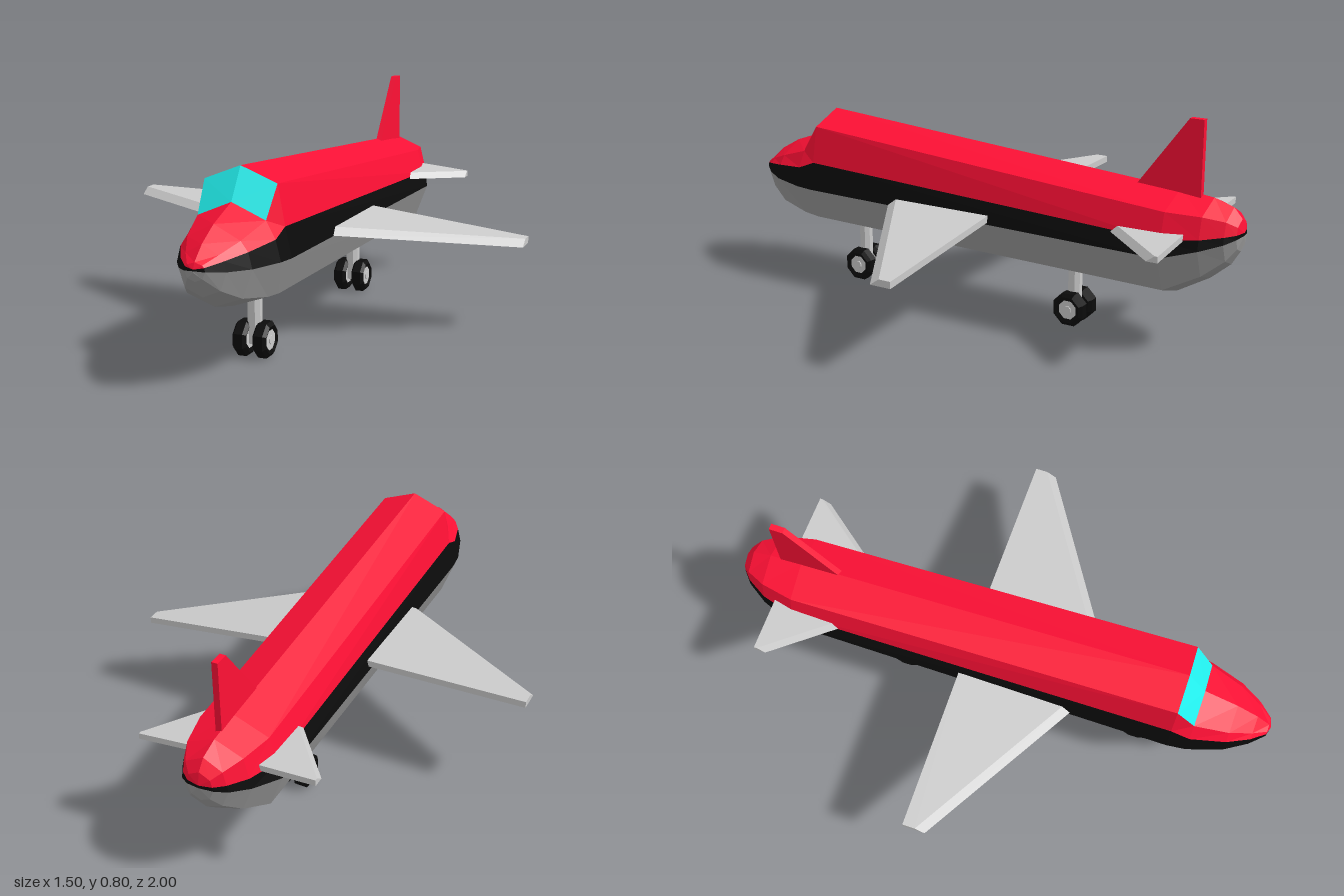
import * as THREE from 'three';

const mat = (color) => new THREE.MeshStandardMaterial({ color, flatShading: true });

// Hull sections, nose to tail: z, ridge y, then x,y of shoulder, paint line, waist and chine, then keel y
const SECTIONS = [
  [1.0, 0.40, 0, 0.40, 0, 0.40, 0, 0.395, 0, 0.39, 0.39],
  [0.99, 0.42, 0.025, 0.412, 0.032, 0.405, 0.035, 0.392, 0.025, 0.37, 0.36],
  [0.94, 0.465, 0.055, 0.435, 0.073, 0.418, 0.08, 0.385, 0.06, 0.325, 0.30],
  [0.86, 0.51, 0.09, 0.465, 0.115, 0.432, 0.128, 0.38, 0.095, 0.285, 0.25],
  [0.735, 0.555, 0.118, 0.505, 0.15, 0.447, 0.168, 0.377, 0.122, 0.262, 0.22],
  [0.665, 0.66, 0.127, 0.61, 0.152, 0.475, 0.175, 0.375, 0.13, 0.257, 0.212],
  [-0.77, 0.555, 0.125, 0.505, 0.15, 0.415, 0.168, 0.358, 0.122, 0.235, 0.195],
  [-0.89, 0.542, 0.1, 0.50, 0.118, 0.427, 0.126, 0.39, 0.09, 0.295, 0.265],
  [-0.96, 0.52, 0.066, 0.485, 0.078, 0.437, 0.083, 0.412, 0.058, 0.35, 0.325],
  [-0.99, 0.485, 0.038, 0.465, 0.045, 0.44, 0.047, 0.425, 0.033, 0.39, 0.375],
  [-1.0, 0.44, 0, 0.44, 0, 0.44, 0, 0.43, 0, 0.43, 0.43],
].map(([z, top, sx, sy, px, py, wx, wy, cx, cy, keel]) =>
  [[0, top], [sx, sy], [px, py], [wx, wy], [cx, cy], [0, keel]].map(([x, y]) => new THREE.Vector3(x, y, z)));

const WINDOW = 4; // hull bay that carries the windscreen

// Skin of the hull bands for which pick(bay, band) holds, on both sides
function hullSkin(pick) {
  const out = [];
  const tri = (p, q, r, side) => {
    const area = q.clone().sub(p).cross(r.clone().sub(p)).length();
    if (area < 1e-9) return;
    for (const v of side > 0 ? [p, q, r] : [p, r, q]) out.push(v.x * side, v.y, v.z);
  };
  for (let i = 0; i < SECTIONS.length - 1; i++) {
    for (let j = 0; j < 5; j++) {
      if (!pick(i, j)) continue;
      const a = SECTIONS[i][j], b = SECTIONS[i][j + 1], c = SECTIONS[i + 1][j + 1], d = SECTIONS[i + 1][j];
      for (const side of [1, -1]) {
        tri(a, b, c, side);
        tri(a, c, d, side);
      }
    }
  }
  const geo = new THREE.BufferGeometry();
  geo.setAttribute('position', new THREE.Float32BufferAttribute(out, 3));
  geo.computeVertexNormals();
  return geo;
}

// Swept slab: root and tip give x, y, leading z; the leading face slants back by bevel
function wingSlab(side, root, tip, back, thick, bevel) {
  const geo = new THREE.BoxGeometry(1, 1, 1);
  const p = geo.attributes.position;
  for (let i = 0; i < p.count; i++) {
    const [x, y, lead] = p.getX(i) * side > 0 ? tip : root;
    const up = p.getY(i) > 0;
    const z = p.getZ(i) > 0 ? lead - (up ? bevel : 0) : back;
    p.setXYZ(i, x * side, y + (up ? thick / 2 : -thick / 2), z);
  }
  geo.computeVertexNormals();
  return geo;
}

export function createModel() {
  const model = new THREE.Group();
  model.name = 'airplane';
  const red = mat(0xff1035), black = mat(0x0b0b0b), glass = mat(0x22f0ee), grey = mat(0xcccccc), belly = mat(0x999999);

  const add = (parent, name, geo, material, x = 0, y = 0, z = 0) => {
    const mesh = new THREE.Mesh(geo, material);
    mesh.name = name;
    mesh.position.set(x, y, z);
    parent.add(mesh);
    return mesh;
  };

  // Fuselage in painted bands
  const isGlass = (i, j) => i === WINDOW && j === 0;
  add(model, 'upperFuselage', hullSkin((i, j) => j < 2 && !isGlass(i, j)), red);
  add(model, 'windscreen', hullSkin(isGlass), glass);
  add(model, 'sideStripe', hullSkin((i, j) => j === 2), black);
  add(model, 'lowerFuselage', hullSkin((i, j) => j > 2), belly);

  // Wings and tailplanes; the model's left side droops a little more
  add(model, 'leftWing', wingSlab(1, [0.12, 0.39, 0.335], [0.745, 0.318, -0.04], -0.12, 0.024, 0.035), grey);
  add(model, 'rightWing', wingSlab(-1, [0.12, 0.392, 0.335], [0.75, 0.4, -0.04], -0.12, 0.024, 0.035), grey);
  add(model, 'leftTailplane', wingSlab(1, [0.08, 0.434, -0.5], [0.32, 0.41, -0.8], -0.84, 0.022, 0.03), grey);
  add(model, 'rightTailplane', wingSlab(-1, [0.08, 0.434, -0.5], [0.322, 0.446, -0.8], -0.84, 0.022, 0.03), grey);

  // Tail fin, drawn as (z, y)
  const fin = new THREE.Shape([[-0.6, 0.53], [-0.8, 0.8], [-0.85, 0.8], [-0.85, 0.52]].map(([z, y]) => new THREE.Vector2(z, y)));
  const finGeo = new THREE.ExtrudeGeometry(fin, { depth: 0.022, bevelEnabled: false });
  add(model, 'tailFin', finGeo.rotateY(-Math.PI / 2), red, 0.019, 0, 0);

  // Landing gear: a strut, an axle and twin octagonal wheels, fore and aft
  const R = 0.0635;
  const tyreGeo = new THREE.LatheGeometry(
    [[0.036, -0.02], [0.05, -0.025], [R, -0.015], [R, 0.015], [0.05, 0.025], [0.036, 0.02]].map(([r, h]) => new THREE.Vector2(r, h)),
    8, Math.PI / 8).rotateZ(Math.PI / 2);
  const octagon = (r, length) => new THREE.CylinderGeometry(r, r, length, 8, 1, false, Math.PI / 8);
  for (const [name, z] of [['frontGear', 0.545], ['rearGear', -0.378]]) {
    const gear = new THREE.Group();
    gear.name = name;
    gear.position.set(-0.01, 0.06, z);
    model.add(gear);
    add(gear, 'strut', octagon(0.025, 0.19), grey, 0, 0.08, 0);
    add(gear, 'axle', octagon(0.015, 0.12).rotateZ(Math.PI / 2), grey);
    for (const side of [-1, 1]) {
      add(gear, 'tyre', tyreGeo, black, side * 0.036, 0, 0);
      add(gear, 'hub', octagon(0.038, 0.04).rotateZ(Math.PI / 2), grey, side * 0.036, 0, 0);
    }
  }
  return model;
}
